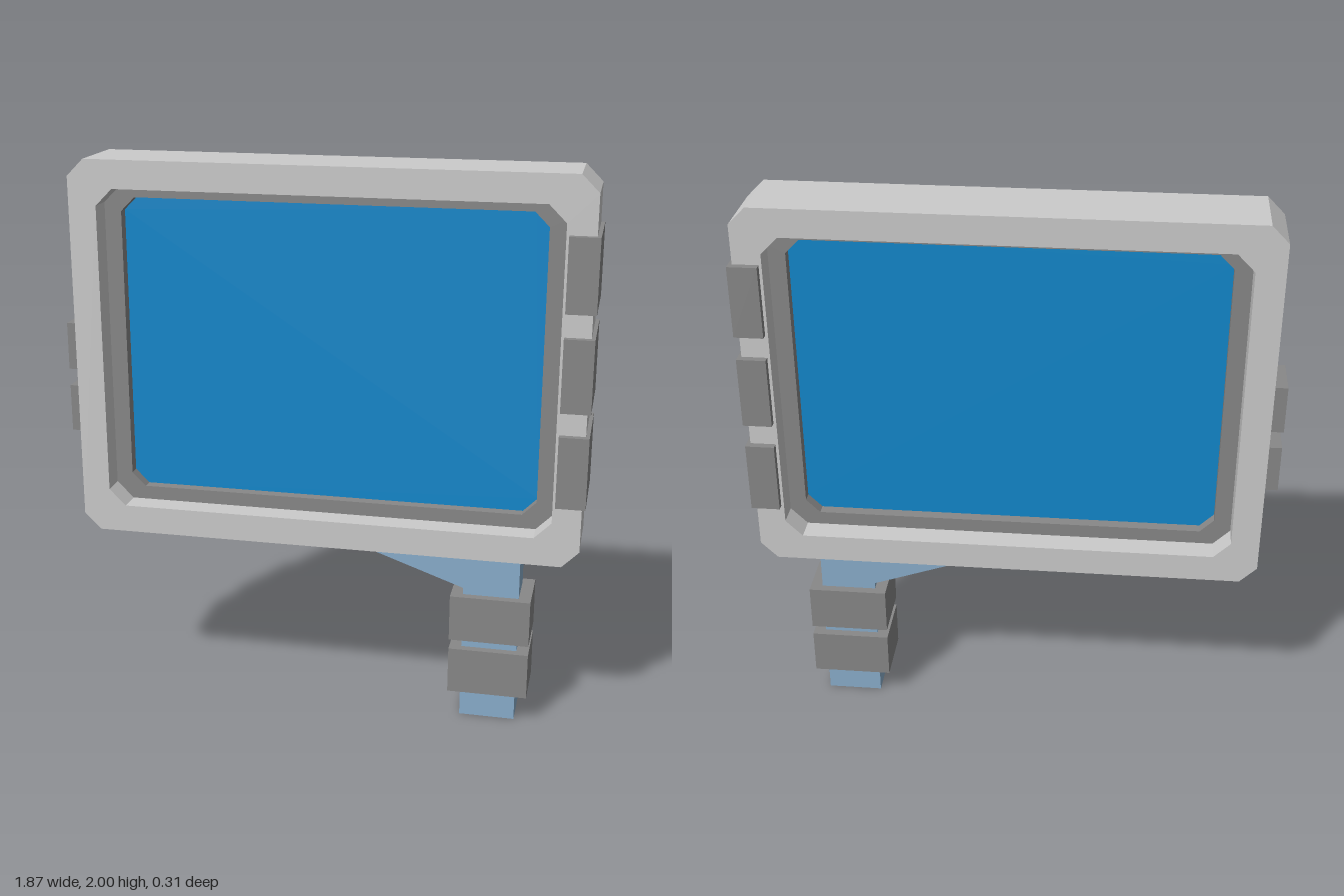
import * as THREE from 'three';

const material = (color) => new THREE.MeshStandardMaterial({ color, flatShading: true });

// Rectangle with chamfered corners, traced on a Shape or Path
function chamferedRect(path, x0, x1, y0, y1, c) {
  path.moveTo(x0 + c, y0);
  path.lineTo(x1 - c, y0);
  path.lineTo(x1, y0 + c);
  path.lineTo(x1, y1 - c);
  path.lineTo(x1 - c, y1);
  path.lineTo(x0 + c, y1);
  path.lineTo(x0, y1 - c);
  path.lineTo(x0, y0 + c);
  path.closePath();
  return path;
}

// Extrusion centred on z = 0
function slab(shape, depth) {
  return new THREE.ExtrudeGeometry(shape, { depth, bevelEnabled: false }).translate(0, 0, -depth / 2);
}

export function createModel() {
  const model = new THREE.Group();
  const frameGrey = material(0xcccccc);
  const darkGrey = material(0x888888);
  const screenBlue = material(0x1288cc);
  const handleBlue = material(0x8aaecc);

  const add = (name, geometry, mat) => {
    const mesh = new THREE.Mesh(geometry, mat);
    mesh.name = name;
    model.add(mesh);
  };
  const addBox = (name, x0, x1, y0, y1, depth, mat) => {
    const box = new THREE.BoxGeometry(x1 - x0, y1 - y0, depth);
    add(name, box.translate((x0 + x1) / 2, (y0 + y1) / 2, 0), mat);
  };

  // Nested outlines: outer frame, frame opening, screen
  const outer = [-0.89, 0.92, 0.64, 2, 0.06];
  const opening = [-0.79, 0.82, 0.74, 1.9, 0.06];
  const inner = [-0.73, 0.76, 0.79, 1.86, 0.05];

  const ring = (outline, hole) => {
    const shape = chamferedRect(new THREE.Shape(), ...outline);
    shape.holes.push(chamferedRect(new THREE.Path(), ...hole));
    return shape;
  };
  add('frame', slab(ring(outer, opening), 0.264), frameGrey);
  add('innerTrim', slab(ring(opening, inner), 0.09), darkGrey);
  add('screen', slab(chamferedRect(new THREE.Shape(), ...inner), 0.01), screenBlue);

  // Clamps wrapped around the left edge of the frame
  [0.865, 1.205, 1.545].forEach((y, i) =>
    addBox(`edgeClamp${i + 1}`, 0.83, 0.933, y, y + 0.256, 0.315, darkGrey));

  // Small buttons on the right edge
  [1.005, 1.237].forEach((y, i) =>
    addBox(`sideButton${i + 1}`, -0.938, -0.885, y, y + 0.17, 0.174, darkGrey));

  // Handle with its slanted brace in one outline
  const handle = new THREE.Shape([
    [0.515, 0], [0.715, 0], [0.715, 0.645], [0.13, 0.645], [0.13, 0.64], [0.515, 0.505],
  ].map(([x, y]) => new THREE.Vector2(x, y)));
  add('handle', slab(handle, 0.155), handleBlue);

  // Grip bands around the handle
  [0.105, 0.311].forEach((y, i) =>
    addBox(`gripBand${i + 1}`, 0.472, 0.759, y, y + 0.17, 0.216, darkGrey));

  return model;
}
